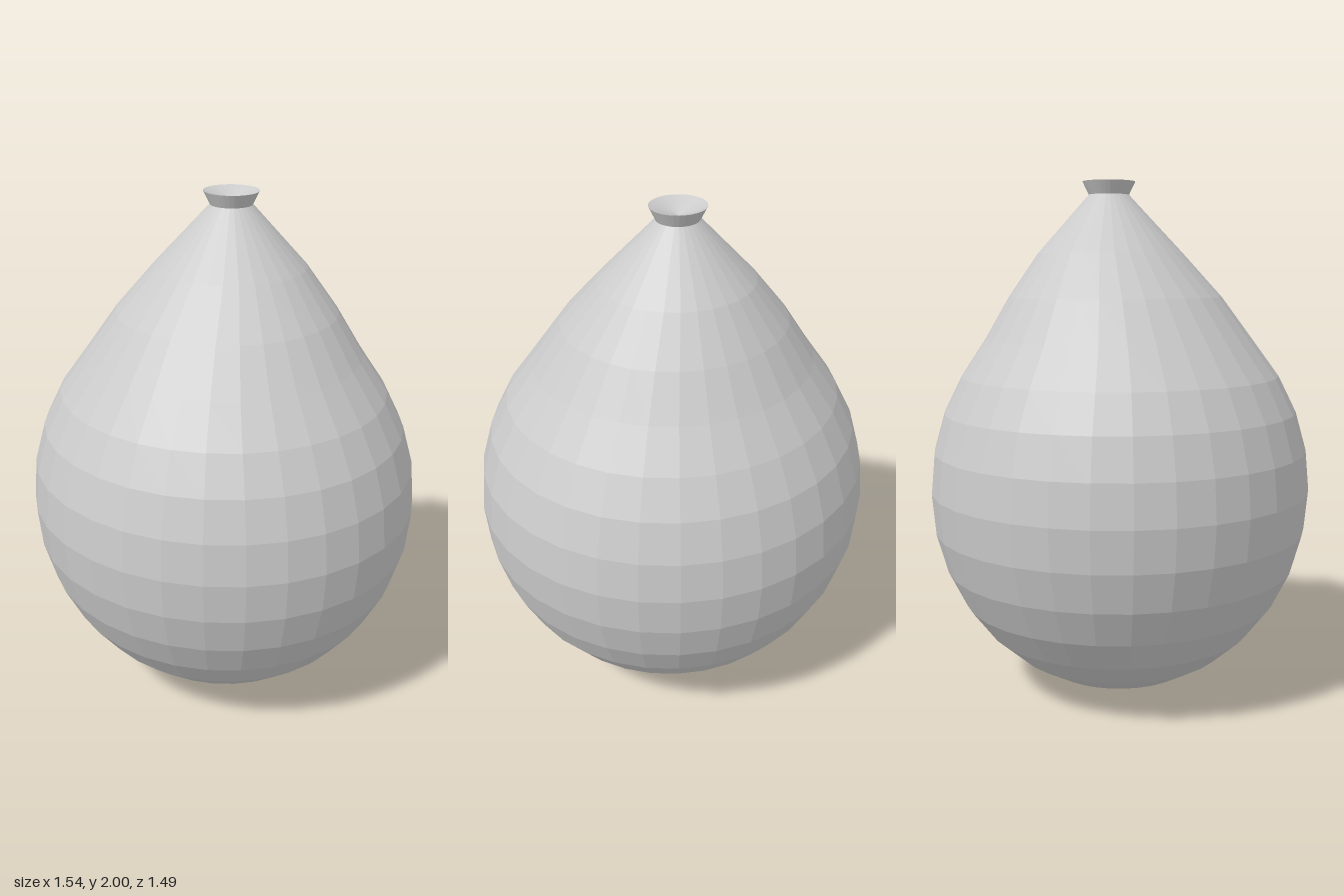
import * as THREE from 'three';

const SEGMENTS = 32;
const DEPTH_SCALE = 0.97; // slightly narrower front to back

// Lathe a list of [radius, height, zOffset] rings, moving each ring along z by its offset
function shiftedLathe(name, rings, material) {
  const points = rings.map(([r, y]) => new THREE.Vector2(r, y));
  const geometry = new THREE.LatheGeometry(points, SEGMENTS);
  const position = geometry.attributes.position;
  for (let i = 0; i < position.count; i++) {
    const offset = rings[i % rings.length][2];
    position.setZ(i, position.getZ(i) * DEPTH_SCALE + offset);
  }
  geometry.computeVertexNormals();
  const mesh = new THREE.Mesh(geometry, material);
  mesh.name = name;
  return mesh;
}

export function createModel() {
  const group = new THREE.Group();
  group.name = 'balloon';
  const rubber = new THREE.MeshStandardMaterial({
    color: 0xcccccc, flatShading: true, side: THREE.DoubleSide,
  });

  // Round lower part: evenly spaced latitude rings from the bottom pole upward
  const bodyRings = [];
  for (let i = 0; i <= 11; i++) {
    const a = (i / 16) * Math.PI;
    bodyRings.push([0.768 * Math.sin(a), 0.808 - 0.805 * Math.cos(a), 0]);
  }
  bodyRings[0] = [0, 0, 0];
  // Shoulders drawn up into a cone that leans slightly backward
  bodyRings.push(
    [0.535, 1.4, -0.006],
    [0.427, 1.56, -0.02],
    [0.292, 1.725, -0.04],
    [0.08, 1.95, -0.047],
  );
  // Ring 11 would overlap the shoulders, so the round part ends one ring lower
  bodyRings.splice(12 - 1 + 0, bodyRings[11][1] < 1.3 ? 0 : 1);
  group.add(shiftedLathe('body', bodyRings, rubber));

  // Flared lip with a dished top
  const lipRings = [
    [0.08, 1.95, -0.047],
    [0.105, 2.0, -0.047],
    [0, 1.96, -0.047],
  ];
  group.add(shiftedLathe('lip', lipRings, rubber));

  return group;
}
